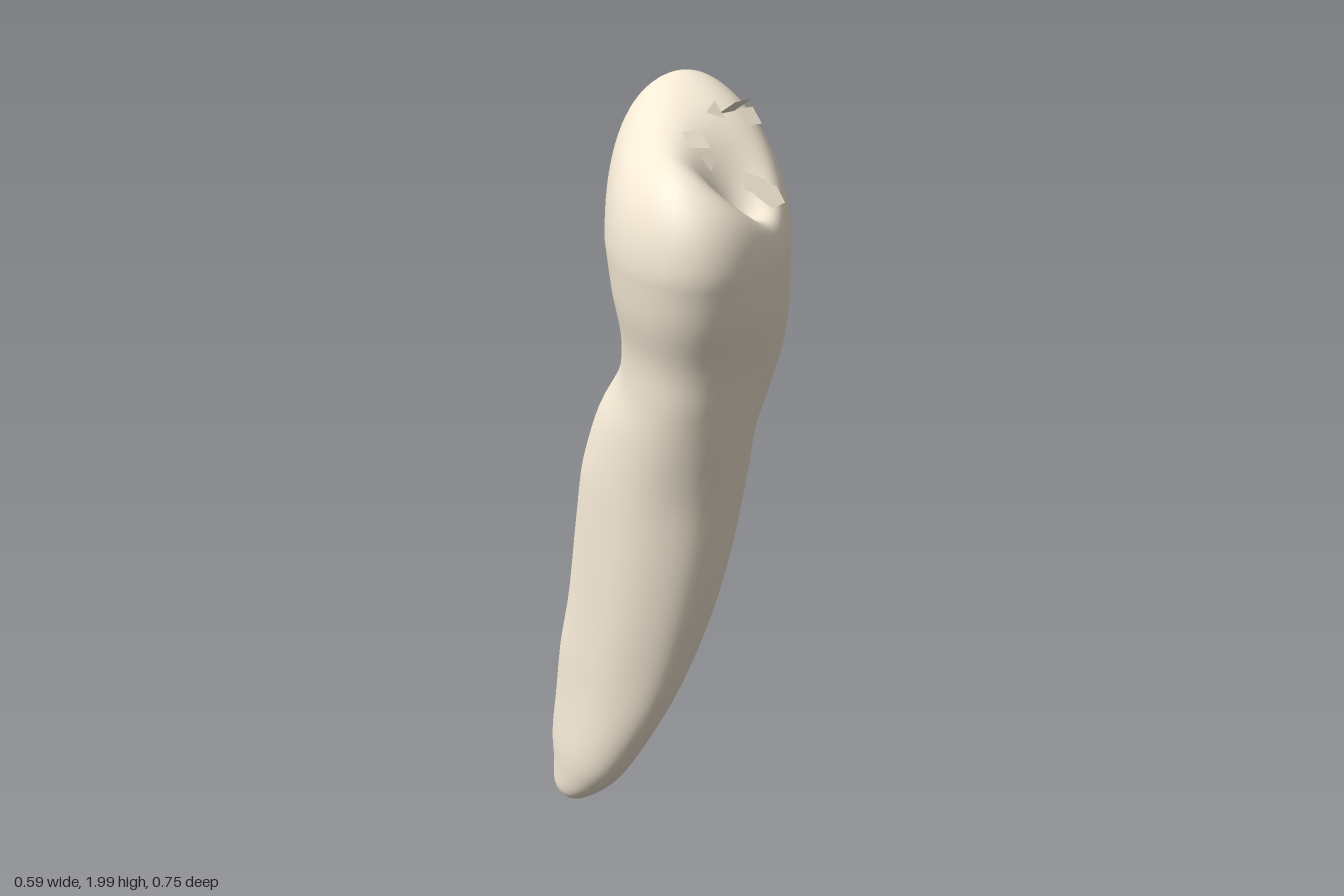
import * as THREE from 'three';

const SIDES = 64, BODY_ROWS = 72, CAP_ROWS = 26;
const RIM = 1.62; // height where the crown starts to close
const { smoothstep, lerp } = THREE.MathUtils;

// Body sections: y, xMin, xMax, zMin, zMax
const SECTIONS = [
  [0.0, -0.12, -0.1, -0.29, -0.265],
  [0.03, -0.165, -0.055, -0.345, -0.2],
  [0.1, -0.19, 0.0, -0.366, -0.11],
  [0.2, -0.203, 0.025, -0.375, -0.03],
  [0.4, -0.202, 0.075, -0.342, 0.083],
  [0.6, -0.207, 0.15, -0.312, 0.158],
  [0.8, -0.213, 0.2, -0.292, 0.212],
  [1.0, -0.22, 0.23, -0.265, 0.25],
  [1.15, -0.228, 0.23, -0.238, 0.28],
  [1.27, -0.235, 0.265, -0.192, 0.302],
  [1.38, -0.245, 0.288, -0.2, 0.325],
  [1.5, -0.277, 0.28, -0.225, 0.357],
  [RIM, -0.295, 0.268, -0.24, 0.376],
];

// Swelling of the oval towards four directions (angle), for root and crown
const LOBES = [
  { angle: 1.1, root: -0.07, crown: 0.07 },   // front left
  { angle: 2.7, root: -0.05, crown: 0.01 },   // front right
  { angle: 4.2, root: 0.18, crown: -0.08 },   // back right
  { angle: 5.85, root: 0.02, crown: 0.05 },   // back left
];

// Point on a slanted, lobed oval within the given limits
function ovalPoint(x0, x1, z0, z1, slant, root, crown, t, scale = 1) {
  const c = Math.cos(t), s = Math.sin(t);
  let k = 1;
  for (const l of LOBES) k += (l.root * root + l.crown * crown) * Math.exp(8 * (Math.cos(t - l.angle) - 1));
  k *= scale;
  return [
    (x0 + x1) / 2 + (x1 - x0) / 2 * c * k,
    (z0 + z1) / 2 + (z1 - z0) / 2 * (slant * c + Math.sqrt(1 - slant * slant) * s) * k,
  ];
}

const bump = (x, z, cx, cz, r) => Math.exp(-((x - cx) ** 2 + (z - cz) ** 2) / (r * r));

// Chewing surface: tall main cusp, lower shoulder cusp, hollow at the front
function cuspHeight(x, z) {
  const along = (x - z + 0.06) * 0.707;
  const drop = 0.1 * (1 - smoothstep(along, -0.2, 0.16));
  return 1.98 - drop
    + 0.03 * bump(x, z, 0.1, -0.06, 0.14)
    + 0.02 * bump(x, z, -0.21, 0.2, 0.09)
    - 0.15 * bump(x, z, -0.03, 0.26, 0.1);
}

function capPoint(t, s) {
  const [, x0, x1, z0, z1] = SECTIONS[SECTIONS.length - 1];
  const [x, z] = ovalPoint(x0, x1, z0, z1, -0.43, 0, 1, t, s);
  const rise = Math.pow(Math.max(0, 1 - Math.pow(s, 2.8)), 1 / 2.2);
  return [x, RIM + (cuspHeight(x, z) - RIM) * rise, z];
}

function toothGeometry() {
  const xs = new THREE.CatmullRomCurve3(SECTIONS.map(r => new THREE.Vector3(r[1], r[0], r[2])), false, 'catmullrom');
  const zs = new THREE.CatmullRomCurve3(SECTIONS.map(r => new THREE.Vector3(r[3], r[0], r[4])), false, 'catmullrom');
  const pos = [], index = [];
  const rows = BODY_ROWS + CAP_ROWS;

  // Root and crown wall
  for (let i = 0; i <= BODY_ROWS; i++) {
    const a = xs.getPoint(i / BODY_ROWS), b = zs.getPoint(i / BODY_ROWS);
    const crown = smoothstep(a.y, 1.15, 1.5);
    const root = smoothstep(a.y, 0.1, 0.5) * (1 - smoothstep(a.y, 0.95, 1.3));
    const slant = lerp(-0.43, -0.35, root);
    for (let j = 0; j < SIDES; j++) {
      const [x, z] = ovalPoint(a.x, a.z, b.x, b.z, slant, root, crown, j / SIDES * Math.PI * 2);
      pos.push(x, Math.max(0, a.y), z);
    }
  }
  // Crown top, closing towards the middle
  for (let i = 1; i < CAP_ROWS; i++) {
    const s = Math.cos(i / CAP_ROWS * Math.PI / 2);
    for (let j = 0; j < SIDES; j++) pos.push(...capPoint(j / SIDES * Math.PI * 2, s));
  }
  for (let i = 0; i < rows - 1; i++) {
    for (let j = 0; j < SIDES; j++) {
      const k = (j + 1) % SIDES;
      const a = i * SIDES + j, b = i * SIDES + k;
      const c = a + SIDES, d = b + SIDES;
      index.push(a, c, b, b, c, d);
    }
  }
  // End points at the crown middle and the root tip
  const top = pos.length / 3;
  pos.push(...capPoint(0, 0), -0.11, 0, -0.278);
  for (let j = 0; j < SIDES; j++) {
    const k = (j + 1) % SIDES, last = (rows - 1) * SIDES;
    index.push(last + j, top, last + k);
    index.push(j, k, top + 1);
  }
  const geo = new THREE.BufferGeometry();
  geo.setAttribute('position', new THREE.Float32BufferAttribute(pos, 3));
  geo.setIndex(index);
  geo.computeVertexNormals();
  return geo;
}

export function createModel() {
  const group = new THREE.Group();
  group.name = 'tooth';
  const color = 0xf6ead6;

  const body = new THREE.Mesh(toothGeometry(), new THREE.MeshStandardMaterial({ color }));
  body.name = 'crownAndRoot';
  group.add(body);

  // Small loose chips around the hollow: x, y, z, radius, sides, turn, tilt
  const chipMaterial = new THREE.MeshStandardMaterial({ color, side: THREE.DoubleSide, flatShading: true });
  const chips = [
    [-0.065, 1.885, 0.135, 0.038, 4, 0.5, -1.0],
    [-0.085, 1.85, 0.195, 0.028, 3, 0.2, -0.7],
    [0.005, 1.94, 0.13, 0.03, 3, 1.0, -0.8],
    [0.05, 1.945, 0.15, 0.045, 4, 0.9, -2.2],
    [0.08, 1.92, 0.17, 0.034, 4, 0.7, -0.8],
    [0.0, 1.79, 0.265, 0.042, 4, 0.1, -0.9],
    [0.025, 1.765, 0.285, 0.042, 5, 0.4, -0.9],
  ];
  for (const [x, y, z, r, sides, turn, tilt] of chips) {
    const chip = new THREE.Mesh(new THREE.CircleGeometry(r, sides).rotateZ(turn).rotateX(tilt), chipMaterial);
    chip.position.set(x, y, z);
    chip.name = 'enamelChip';
    group.add(chip);
  }
  return group;
}
